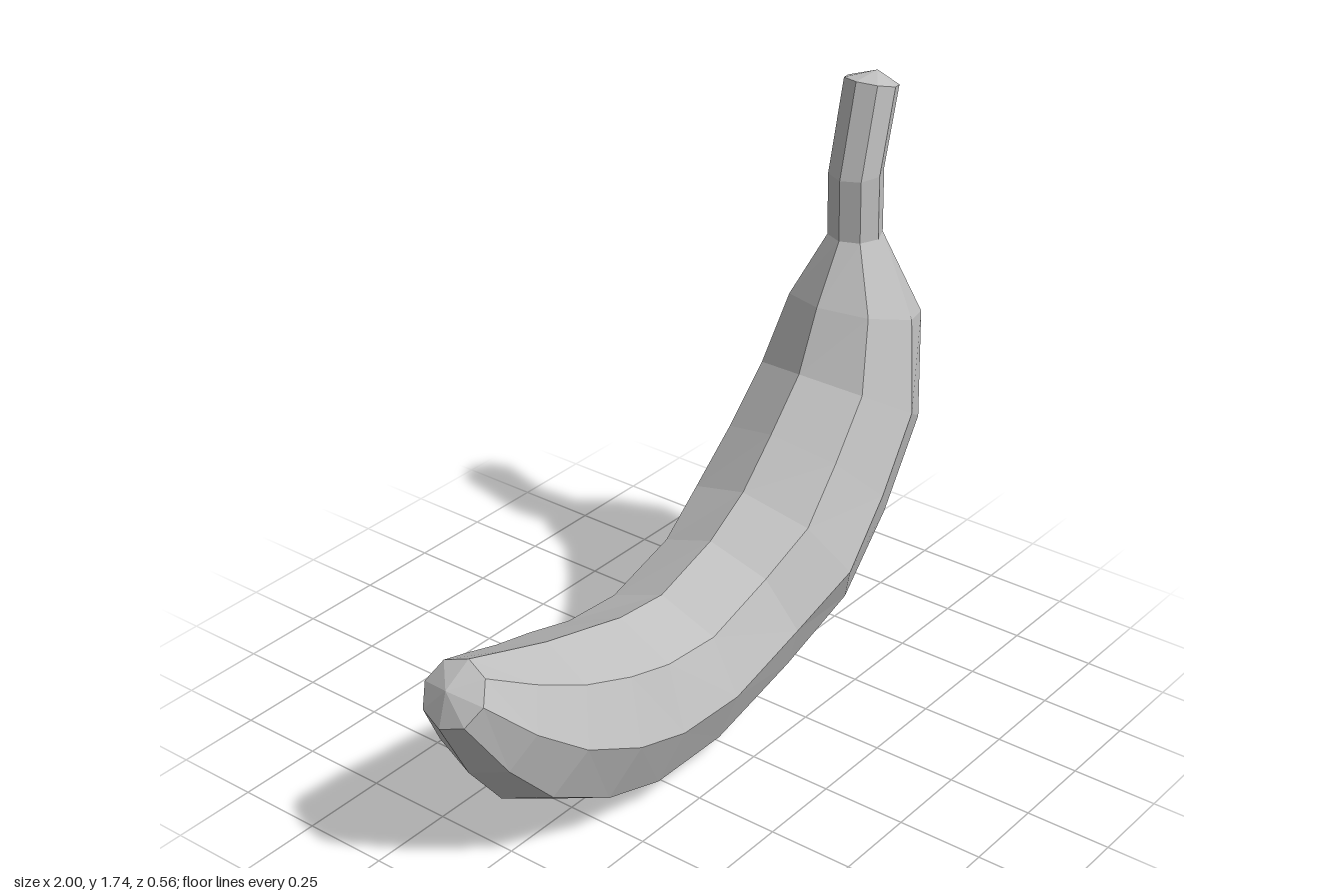
import * as THREE from 'three';

const SIDES = 8;

// Cross-sections from blossom end to stem: [outer x, y, inner x, y, half width in z]
const SECTIONS = [
  [-1.0, 0.53, -0.88, 0.68, 0.1],
  [-0.9, 0.34, -0.74, 0.633, 0.17],
  [-0.78, 0.19, -0.58, 0.58, 0.22],
  [-0.57, 0.07, -0.43, 0.543, 0.25],
  [-0.35, 0.0, -0.28, 0.505, 0.25],
  [-0.06, 0.0, -0.1, 0.49, 0.25],
  [0.28, 0.08, 0.12, 0.56, 0.25],
  [0.55, 0.2, 0.27, 0.65, 0.28],
  [0.77, 0.4, 0.4, 0.78, 0.265],
  [0.955, 0.655, 0.53, 0.92, 0.25],
  [1.0, 0.99, 0.61, 1.1, 0.195],
  [0.87, 1.27, 0.71, 1.27, 0.08],
  [0.865, 1.47, 0.705, 1.455, 0.08],
  [0.925, 1.69, 0.77, 1.73, 0.08],
];

// Eight-sided ring with one corner on the outer curve and one on the inner curve
function ring([ox, oy, ix, iy, w]) {
  return Array.from({ length: SIDES }, (_, j) => {
    const t = (j / SIDES) * Math.PI * 2;
    const k = (1 - Math.cos(t)) / 2;
    return [ox + (ix - ox) * k, oy + (iy - oy) * k, w * Math.sin(t)];
  });
}

// Flat-shaded skin over a run of sections, with optional pointed ends
function loft(sections, startTip, endTip) {
  const rings = sections.map(ring);
  const pos = [];
  const tri = (...corners) => corners.forEach((p) => pos.push(...p));
  const last = rings[rings.length - 1];
  for (let j = 0; j < SIDES; j++) {
    const n = (j + 1) % SIDES;
    for (let i = 0; i < rings.length - 1; i++) {
      const [a, b] = [rings[i], rings[i + 1]];
      tri(a[j], b[j], a[n]);
      tri(b[j], b[n], a[n]);
    }
    if (startTip) tri(startTip, rings[0][j], rings[0][n]);
    if (endTip) tri(endTip, last[n], last[j]);
  }
  const geometry = new THREE.BufferGeometry();
  geometry.setAttribute('position', new THREE.Float32BufferAttribute(pos, 3));
  geometry.computeVertexNormals();
  return geometry;
}

export function createModel() {
  const group = new THREE.Group();
  group.name = 'banana';
  const grey = new THREE.MeshStandardMaterial({ color: 0xc0c0c0 });
  grey.name = 'grey';

  const add = (name, geometry) => {
    const mesh = new THREE.Mesh(geometry, grey);
    mesh.name = name;
    group.add(mesh);
  };

  // Curved fruit with its blunt blossom end, then the bent stem with its cap
  add('fruit', loft(SECTIONS.slice(0, 12), [-0.97, 0.63, 0], null));
  add('stem', loft(SECTIONS.slice(11), null, [0.875, 1.735, 0]));
  return group;
}
